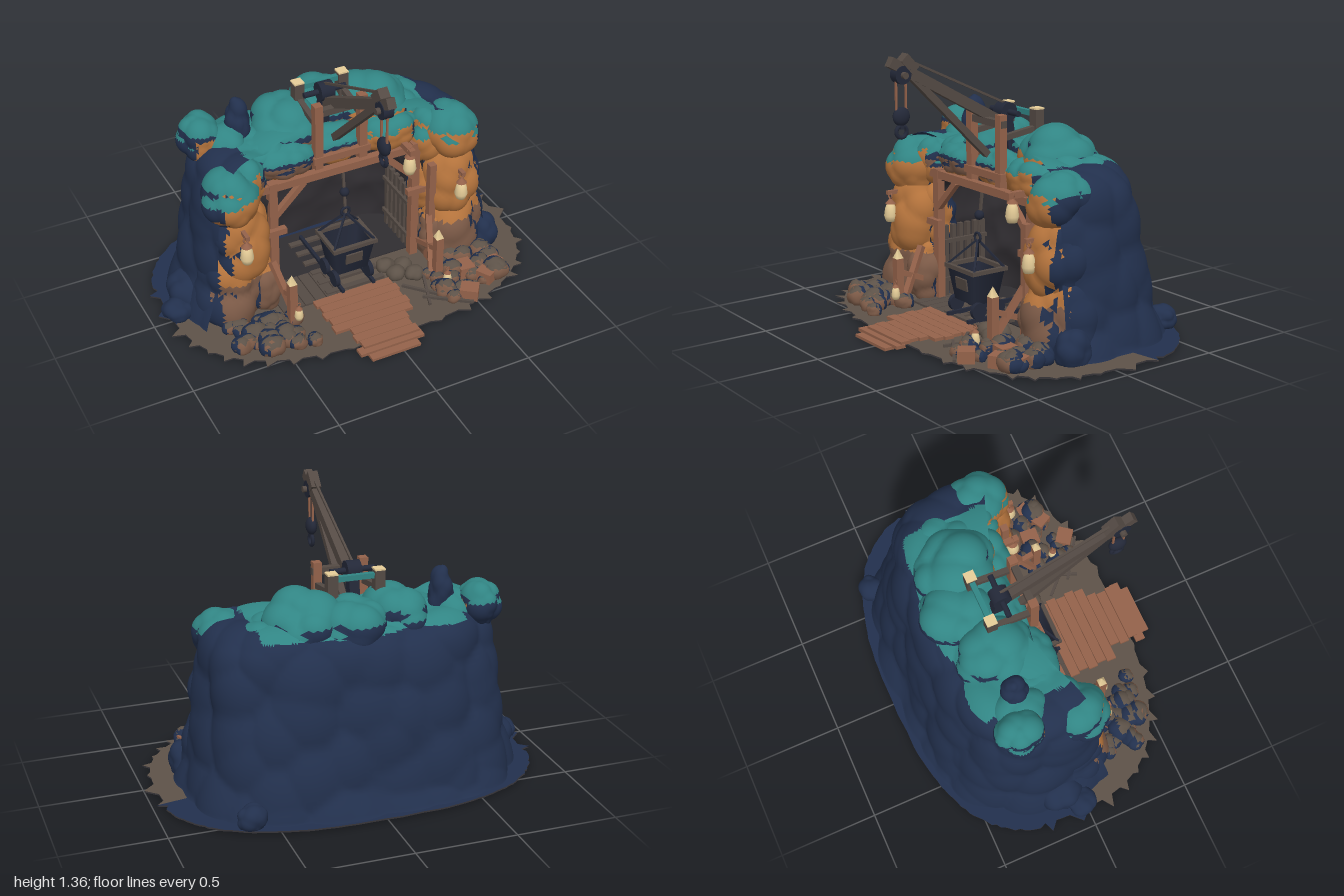
import * as THREE from 'three';
import { mergeVertices } from 'three/addons/utils/BufferGeometryUtils.js';

const paintOf = (name, color, side = THREE.FrontSide) => {
  const m = new THREE.MeshStandardMaterial({ color, side });
  m.name = name;
  return m;
};
const V = (x, y, z) => new THREE.Vector3(x, y, z);

export function createModel() {
  const model = new THREE.Group();
  model.name = 'mineEntrance';
  const navy = paintOf('navy rock', 0x22304d, THREE.DoubleSide), teal = paintOf('teal moss', 0x318584);
  const orange = paintOf('lamplit rock', 0xb4733c), brown = paintOf('brown rock', 0x7c5a47);
  const earth = paintOf('earth', 0x5d5248), dark = paintOf('cave dark', 0x302d31, THREE.DoubleSide);
  const wood = paintOf('wood', 0x94624a), oldWood = paintOf('weathered wood', 0x544a44);
  const metal = paintOf('iron', 0x232838, THREE.DoubleSide), cream = paintOf('lamp glow', 0xe6cd98);

  let seed = 7;
  const rnd = () => (seed = (seed * 16807) % 2147483647) / 2147483647;
  const hash = (x, y, z, k) => {
    const s = Math.sin(x * 127.1 + y * 311.7 + z * 74.7 + k * 53.3) * 43758.5453;
    return s - Math.floor(s);
  };
  // distance to the nearest cell centre gives pillow-like boulders
  const cells = (p, size) => {
    const q = p.clone().divideScalar(size), f = q.clone().floor();
    let best = 1;
    for (let i = -1; i < 2; i++) for (let j = -1; j < 2; j++) for (let k = -1; k < 2; k++) {
      const a = f.x + i, b = f.y + j, c = f.z + k;
      const d = V(a + hash(a, b, c, 1), b + hash(a, b, c, 2), c + hash(a, b, c, 3)).distanceToSquared(q);
      best = Math.min(best, d);
    }
    return best;
  };
  const lump = (geo, amp, size) => {
    geo.computeVertexNormals();
    const p = geo.attributes.position, n = geo.attributes.normal;
    for (let i = 0; i < p.count; i++) {
      const v = V().fromBufferAttribute(p, i);
      v.addScaledVector(V().fromBufferAttribute(n, i), amp * (0.6 - cells(v, size)));
      p.setXYZ(i, v.x, Math.max(v.y, 0.018), v.z);
    }
    geo.computeVertexNormals();
    return geo;
  };
  const add = (name, geo, mat, x = 0, y = 0, z = 0, parent = model) => {
    const m = new THREE.Mesh(geo, mat);
    m.name = name;
    m.position.set(x, y, z);
    parent.add(m);
    return m;
  };
  // sorts triangles into one geometry group per colour
  const painted = (name, geo, rule) => {
    const p = geo.attributes.position, idx = geo.index, bins = new Map();
    for (let i = 0; i < idx.count; i += 3) {
      const t = [idx.getX(i), idx.getX(i + 1), idx.getX(i + 2)];
      const [a, b, c] = t.map((k) => V().fromBufferAttribute(p, k));
      const n = b.clone().sub(a).cross(c.clone().sub(a)).normalize();
      const m = rule(a.add(b).add(c).divideScalar(3), n);
      if (!bins.has(m)) bins.set(m, []);
      bins.get(m).push(...t);
    }
    const order = [], mats = [...bins.keys()];
    mats.forEach((m, i) => {
      geo.addGroup(order.length, bins.get(m).length, i);
      for (const k of bins.get(m)) order.push(k);
    });
    geo.setIndex(order);
    add(name, geo, mats);
  };
  const loft = (nu, nv, f) => {
    const pos = [], idx = [];
    for (let j = 0; j <= nv; j++) for (let i = 0; i <= nu; i++) pos.push(...f(i / nu, j / nv));
    for (let j = 0; j < nv; j++) for (let i = 0; i < nu; i++) {
      const a = j * (nu + 1) + i, d = a + nu + 1;
      idx.push(a, a + 1, d, a + 1, d + 1, d);
    }
    const g = new THREE.BufferGeometry();
    g.setAttribute('position', new THREE.Float32BufferAttribute(pos, 3));
    g.setIndex(idx);
    g.computeVertexNormals();
    return g;
  };
  const bar = (name, mat, a, b, w = 0.03, d = w) => {
    const p = V(...a), q = V(...b);
    const m = add(name, new THREE.BoxGeometry(w, d, p.distanceTo(q)), mat);
    m.position.copy(p).lerp(q, 0.5);
    m.lookAt(q);
  };
  const box = (name, mat, w, h, d, x, y, z) => add(name, new THREE.BoxGeometry(w, h, d), mat, x, y, z);
  const wheel = (name, mat, r, t, x, y, z) => {
    add(name, new THREE.CylinderGeometry(r, r, t, 20), mat, x, y, z).rotation.z = Math.PI / 2;
  };
  const pw = (v, e = 0.75) => Math.sign(v) * Math.abs(v) ** e;

  // ground with a ragged edge
  const groundAt = (u, v) => {
    const a = u * Math.PI * 2, s = Math.sin(a), k = Math.round(u * 160) % 160;
    const spike = s < 0.2 ? (k % 4 === 0 ? 0.05 * hash(k, 1, 2, 3) : -0.015) : 0.012 * hash(k, 1, 2, 3);
    const r = (1 - v) * (1 + spike);
    return [0.02 + 0.94 * r * pw(Math.cos(a)), 0.02, -0.045 - 0.64 * r * pw(s)];
  };
  painted('ground', loft(160, 14, groundAt), (c) => (c.z < -0.08 - 0.12 * c.x ? navy : earth));
  const under = loft(160, 1, (u, v) => { const p = groundAt(1 - u, v); p[1] = 0.012; return p; });
  add('groundUnderside', under, dark);

  // outer cliff: profile points hold height, half width, back depth
  const profile = new THREE.CatmullRomCurve3([[0, 0.82, 0.55], [0.1, 0.79, 0.51], [0.25, 0.76, 0.47], [0.45, 0.725, 0.43],
    [0.65, 0.7, 0.39], [0.77, 0.66, 0.35], [0.83, 0.57, 0.29], [0.85, 0.4, 0.2], [0.87, 0.2, 0.1], [0.87, 0, 0]].map((p) => V(...p)));
  const cliff = loft(150, 64, (u, v) => {
    const a = -0.4 + u * (Math.PI + 0.8), s = pw(Math.sin(a)), p = profile.getPoint(v);
    return [p.y * pw(Math.cos(a)), p.x, -0.1 - s * (s < 0 ? 0.63 * p.y : p.z)];
  });
  painted('cliff', lump(cliff, 0.055, 0.2), (c, n) => (n.y > 0.55 && c.y > 0.82 && Math.abs(c.x) < 0.5 ? teal : navy));

  // cave lining, walls running up into a low vault
  const cave = loft(60, 30, (u, v) => {
    const a = -0.25 + u * (Math.PI + 0.5), r = v < 0.7 ? 1 - 0.08 * v : 0.944 * Math.cos((v - 0.7) / 0.3 * Math.PI / 2);
    const y = v < 0.7 ? 0.02 + v * 0.8 : 0.58 + 0.13 * Math.sin((v - 0.7) / 0.3 * Math.PI / 2);
    return [0.44 * r * pw(Math.cos(a), 0.6), y, -0.05 - 0.3 * r * pw(Math.sin(a), 0.6)];
  });
  add('caveLining', lump(cave, 0.04, 0.17), dark);
  box('caveFloor', dark, 0.8, 0.006, 0.36, 0, 0.022, -0.16);

  // boulders
  const rockRule = (c, n) => {
    const out = n.x * Math.sign(c.x);
    if (c.y > 0.7 && n.y > 0.3) return teal;
    if (c.y > 0.7 && c.x < 0.1 && c.x > -0.45) return n.z > 0.3 && n.y < 0 ? brown : navy;
    if (n.z < -0.15 || out > 0.62 || c.y > 0.88) return navy;
    if (c.y < 0.13 && n.y > 0.6) return earth;
    return c.y < 0.26 ? brown : orange;
  };
  const rock = (name, x, y, z, rx, ry, rz, detail = 9, rule = rockRule) => {
    const ball = new THREE.IcosahedronGeometry(1, detail);
    ball.deleteAttribute('uv');
    ball.deleteAttribute('normal');
    const g = mergeVertices(ball, 1e-4).scale(rx, ry, rz).translate(x, y, z);
    const r = Math.min(rx, ry, rz);
    painted(name, lump(g, r * 0.4, r * 1.1), rule);
  };
  [[-0.61, 0.16, 0.05, 0.16, 0.22, 0.16], [-0.57, 0.42, 0.07, 0.13, 0.2, 0.13], [-0.6, 0.68, 0.05, 0.12, 0.14, 0.14],
    [-0.49, 0.72, 0.0, 0.08, 0.12, 0.1], [-0.46, 0.14, 0.08, 0.08, 0.16, 0.1],
    [0.6, 0.16, 0.06, 0.17, 0.22, 0.15], [0.58, 0.44, 0.07, 0.14, 0.2, 0.13], [0.58, 0.71, 0.05, 0.12, 0.13, 0.14],
    [0.47, 0.68, 0.0, 0.09, 0.14, 0.1], [0.48, 0.14, 0.08, 0.08, 0.15, 0.1], [0.49, 0.42, 0.02, 0.09, 0.18, 0.09],
    [-0.48, 0.44, 0.0, 0.08, 0.18, 0.09]].forEach((r) => rock('pillarBoulder', ...r));
  [[-0.62, 0.85, -0.25, 0.09, 0.11, 0.11], [-0.5, 0.8, -0.2, 0.1, 0.1, 0.12], [0.25, 0.83, -0.2, 0.17, 0.15, 0.19],
    [0.04, 0.82, -0.28, 0.17, 0.13, 0.17], [-0.2, 0.82, -0.2, 0.15, 0.13, 0.18], [0.42, 0.77, -0.18, 0.13, 0.1, 0.17],
    [-0.36, 0.77, -0.13, 0.12, 0.1, 0.15], [-0.28, 0.75, -0.02, 0.15, 0.08, 0.09], [0, 0.75, -0.05, 0.19, 0.09, 0.08],
    [0.28, 0.76, -0.02, 0.15, 0.09, 0.09]].forEach((r) => rock('roofBoulder', ...r));
  rock('spire', -0.44, 0.88, -0.2, 0.055, 0.16, 0.06, 8, () => navy);
  [[-0.87, 0.05, -0.02, 0.07, 0.05, 0.07], [-0.79, 0.08, -0.1, 0.08, 0.1, 0.1], [0.62, 0.06, -0.55, 0.07, 0.06, 0.06],
    [0.76, 0.07, 0.12, 0.07, 0.1, 0.08]].forEach((r) => rock('outerBoulder', ...r, 6, () => navy));

  // rubble either side of the path
  for (const [side, n] of [[-1, 24], [1, 26]]) for (let i = 0; i < n; i++) {
    const x = 0.36 + rnd() * 0.36, z = 0.2 + rnd() * 0.3 * (1.2 - 0.6 * x), r = 0.025 + rnd() * 0.03;
    rock('rubble', side * x, 0.02 + r * 0.6, z, r * 1.1, r, r, 3);
  }
  [[0.22, 0.2], [0.28, 0.16], [0.3, 0.24], [0.2, 0.12]].forEach(([x, z]) => rock('rubble', x, 0.04, z, 0.045, 0.035, 0.04, 3, () => earth));
  [[0.62, 0.42], [0.54, 0.33], [0.47, 0.5], [0.68, 0.36]].forEach(([x, z], i) => {
    box('crate', wood, 0.09, 0.06, 0.08, x, 0.05, z).rotation.y = 0.5 + i;
  });
  [[0.2, 0.3, 0.42, 0.52], [0.34, 0.26, 0.26, 0.48], [0.25, 0.42, 0.46, 0.56]].forEach(([x, z, a, b]) => bar('toolHandle', oldWood, [x, 0.04, z], [a, 0.03, b], 0.014));

  // boardwalk, steps and rails
  for (let i = 0; i < 8; i++) box('boardwalkPlank', wood, i < 5 ? 0.42 : 0.3, 0.016, 0.049, -0.04 + 0.012 * (i % 2), 0.03, 0.235 + i * 0.052);
  box('upperStep', wood, 0.34, 0.016, 0.05, -0.04, 0.018, 0.63);
  box('lowerStep', wood, 0.26, 0.014, 0.05, -0.04, 0.007, 0.67);
  for (let i = 0; i < 6; i++) box('floorPlank', oldWood, 0.055, 0.01, 0.22, -0.38 + i * 0.06, 0.026, 0.1);
  for (let i = 0; i < 6; i++) box('sleeper', oldWood, 0.32, 0.016, 0.03, 0, 0.03, -0.25 + i * 0.085);
  for (const x of [-0.085, 0.085]) box('rail', metal, 0.016, 0.02, 0.5, x, 0.045, -0.03);

  // timber portal
  for (const s of [-1, 1]) {
    bar('portalPost', wood, [s * 0.385, 0.02, 0.06], [s * 0.385, 0.7, 0.06], 0.042);
    bar('portalBrace', wood, [s * 0.38, 0.5, 0.065], [s * 0.22, 0.66, 0.065], 0.03);
    bar('sideTie', wood, [s * 0.33, 0.43, 0.09], [s * 0.47, 0.43, 0.09], 0.032);
    bar('leaningProp', wood, [s * 0.37, 0.02, 0.3], [s * 0.43, 0.3, 0.14], 0.03);
    bar('fencePost', wood, [s * 0.4, 0.02, 0.3], [s * 0.4, 0.27, 0.3], 0.04);
    const tip = add('fencePostTip', new THREE.ConeGeometry(0.028, 0.05, 4), cream, s * 0.4, 0.295, 0.3);
    tip.rotation.y = Math.PI / 4;
    bar('fenceRail', wood, [s * 0.4, 0.2, 0.3], [s * 0.4, 0.12, 0.1], 0.026);
    // slatted panels along the cave walls
    for (let i = 0; i < 6; i++) bar('wallSlat', oldWood, [s * 0.385, 0.03, 0.02 - i * 0.045], [s * 0.385, 0.4, 0.02 - i * 0.045], 0.024);
    for (const y of [0.12, 0.32]) bar('wallRail', oldWood, [s * 0.37, y, 0.04], [s * 0.37, y, -0.22], 0.02);
  }
  bar('lintel', wood, [-0.44, 0.675, 0.06], [0.46, 0.675, 0.06], 0.04);
  bar('outerPost', wood, [0.44, 0.02, 0.14], [0.44, 0.6, 0.14], 0.036);
  bar('lampArm', wood, [0.32, 0.71, 0.02], [0.32, 0.71, 0.16], 0.03);

  // lanterns
  const glass = new THREE.LatheGeometry([[0, -0.05], [0.022, -0.048], [0.032, -0.02], [0.026, 0.02], [0.014, 0.045], [0, 0.046]].map((p) => new THREE.Vector2(...p)), 14);
  [[-0.59, 0.46, 0.22], [0.565, 0.46, 0.22], [0.32, 0.63, 0.13], [-0.38, 0.1, 0.33], [0.4, 0.09, 0.4]].forEach(([x, y, z], i) => {
    const lamp = new THREE.Group();
    lamp.name = 'lantern';
    lamp.position.set(x, y, z);
    lamp.scale.setScalar(i < 3 ? 1.05 : 0.7);
    model.add(lamp);
    add('lanternGlass', glass, cream, 0, 0, 0, lamp);
    add('lanternCap', new THREE.ConeGeometry(0.026, 0.03, 12), wood, 0, 0.055, 0, lamp);
    add('lanternRing', new THREE.TorusGeometry(0.014, 0.004, 6, 14), wood, 0, 0.078, 0, lamp);
    if (i < 2) bar('lanternBracket', wood, [x, y + 0.1, z - 0.14], [x, y + 0.1, z + 0.02], 0.02);
  });

  // ore cart
  const tub = add('cartTub', new THREE.CylinderGeometry(0.155, 0.115, 0.17, 4, 1, true).rotateY(Math.PI / 4), metal, -0.01, 0.2, 0.1);
  tub.scale.z = 0.85;
  box('cartFloor', metal, 0.16, 0.02, 0.13, -0.01, 0.125, 0.1);
  for (const z of [0.005, 0.195]) bar('cartRim', oldWood, [-0.13, 0.285, z], [0.11, 0.285, z], 0.02);
  for (const x of [-0.12, 0.1]) {
    bar('cartRim', oldWood, [x, 0.285, 0], [x, 0.285, 0.2], 0.02);
    for (const z of [0.045, 0.155]) wheel('cartWheel', metal, 0.042, 0.022, x * 0.85, 0.09, z);
    for (const z of [0.01, 0.19]) bar('cartChain', metal, [x, 0.29, z], [-0.01, 0.42, 0.09], 0.01);
  }
  box('cartPlate', oldWood, 0.09, 0.06, 0.008, -0.01, 0.21, 0.187).rotation.x = 0.15;
  bar('cartRope', oldWood, [-0.01, 0.42, 0.09], [-0.01, 0.68, 0.06], 0.012);
  add('cartHook', new THREE.TorusGeometry(0.022, 0.007, 8, 18), metal, -0.01, 0.43, 0.09);
  add('cartBlock', new THREE.SphereGeometry(0.024, 14, 10), metal, -0.01, 0.54, 0.08);

  // crane frame
  for (const x of [-0.13, 0.105]) {
    bar('cranePost', wood, [x, 0.68, 0.035], [x, 1.045, 0.035], 0.042);
    bar('rearPost', oldWood, [x, 0.8, -0.18], [x, 1.05, -0.18], 0.05);
    box('rearPostCap', cream, 0.052, 0.008, 0.052, x, 1.054, -0.18);
    bar('frameTie', oldWood, [x, 0.93, 0.035], [x, 0.96, -0.18], 0.028);
  }
  bar('frameSill', wood, [-0.16, 0.745, 0.045], [0.14, 0.745, 0.045], 0.036);
  bar('frameCrossbar', oldWood, [-0.15, 1.0, 0.035], [0.13, 1.0, 0.035], 0.034);
  bar('rearCrossbar', teal, [-0.12, 1.025, -0.18], [0.1, 1.025, -0.18], 0.026);

  // crane boom, cable and hook
  const X = -0.03;
  bar('boom', oldWood, [X, 0.96, -0.1], [X, 1.33, 0.57], 0.042, 0.05);
  bar('boomStrut', oldWood, [X, 0.83, 0.02], [X, 1.28, 0.48], 0.034);
  bar('boomFoot', metal, [X, 0.84, -0.12], [X, 1.02, -0.09], 0.05);
  bar('boomTip', oldWood, [X, 1.28, 0.44], [X, 1.345, 0.5], 0.05);
  bar('cable', oldWood, [X, 1.33, 0.47], [X, 1.07, -0.09], 0.011);
  wheel('winchDrum', metal, 0.047, 0.07, X, 1.03, -0.09);
  wheel('winchAxle', metal, 0.014, 0.22, X, 1.03, -0.09);
  wheel('tipPulley', metal, 0.043, 0.05, X, 1.265, 0.508);
  wheel('tipAxle', oldWood, 0.016, 0.09, X, 1.265, 0.508);
  for (const z of [0.482, 0.535]) bar('hoistRope', wood, [X, 1.25, z], [X, 1.08, z], 0.009);
  add('hookBlock', new THREE.SphereGeometry(0.045, 18, 12), metal, X, 1.07, 0.508).scale.x = 0.6;
  bar('hookShank', metal, [X, 1.04, 0.508], [X, 1.01, 0.508], 0.02);
  add('hook', new THREE.TorusGeometry(0.028, 0.01, 8, 20), metal, X, 0.998, 0.508).rotation.y = Math.PI / 2;
  return model;
}
